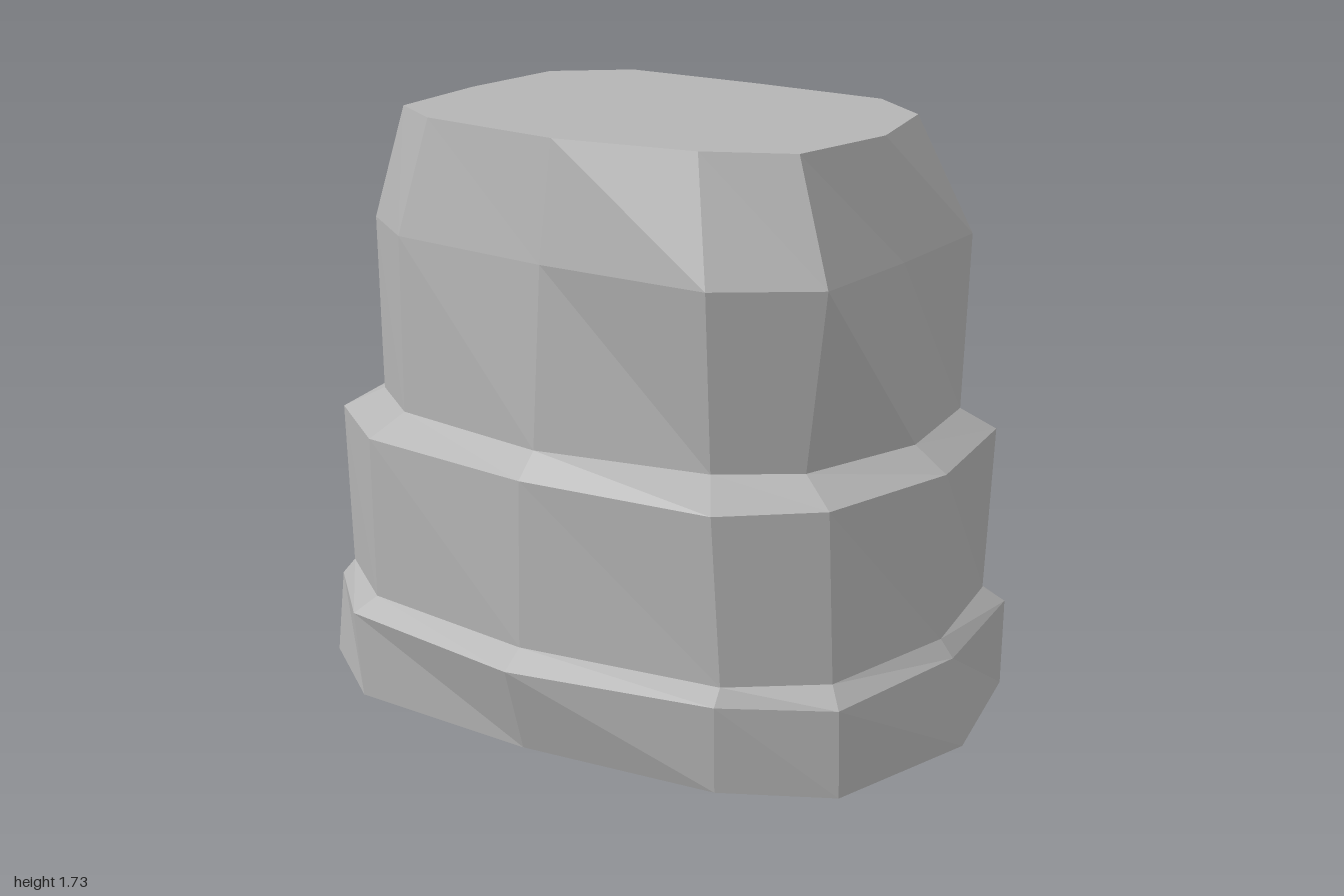
import * as THREE from 'three';

// Each cross-section: height, then 12 [x, z] corners running from front-right round by the left side
const floorRing = { y: 0, p: [[-0.95, 0.43], [-0.65, 0.66], [-0.03, 0.69], [0.58, 0.63], [0.88, 0.47], [1, -0.02], [0.88, -0.49], [0.58, -0.68], [-0.03, -0.75], [-0.65, -0.71], [-0.95, -0.5], [-0.96, 0]] };
const baseRing = { y: 0.26, p: [[-0.92, 0.43], [-0.67, 0.67], [-0.03, 0.77], [0.59, 0.65], [0.88, 0.48], [0.96, -0.02], [0.88, -0.5], [0.58, -0.7], [-0.03, -0.77], [-0.67, -0.72], [-0.97, -0.52], [-1, 0]] };
const drumFoot = { y: 0.31, p: [[-0.88, 0.42], [-0.62, 0.62], [-0.03, 0.7], [0.59, 0.62], [0.83, 0.43], [0.92, -0.02], [0.83, -0.45], [0.59, -0.65], [-0.03, -0.69], [-0.62, -0.68], [-0.88, -0.48], [-0.95, 0]] };
const drumRim = { y: 0.8, p: [[-0.9, 0.42], [-0.62, 0.63], [-0.03, 0.69], [0.57, 0.64], [0.81, 0.43], [0.92, -0.02], [0.84, -0.48], [0.59, -0.63], [-0.03, -0.71], [-0.62, -0.69], [-0.9, -0.49], [-0.99, 0]] };
const crownFoot = { y: 0.87, p: [[-0.77, 0.38], [-0.56, 0.54], [-0.03, 0.62], [0.49, 0.52], [0.7, 0.37], [0.82, -0.02], [0.76, -0.4], [0.5, -0.56], [-0.03, -0.62], [-0.56, -0.6], [-0.8, -0.41], [-0.87, 0]] };
const shoulder = { y: 1.39, p: [[-0.79, 0.37], [-0.57, 0.53], [-0.03, 0.58], [0.51, 0.58], [0.77, 0.39], [0.78, 0], [0.77, -0.42], [0.48, -0.57], [-0.03, -0.65], [-0.54, -0.62], [-0.83, -0.41], [-0.87, -0.02]] };
const topRing = { y: 1.73, p: [[-0.68, 0.36], [-0.5, 0.47], [-0.03, 0.52], [0.4, 0.45], [0.64, 0.33], [0.7, -0.02], [0.62, -0.35], [0.41, -0.51], [-0.04, -0.53], [-0.49, -0.53], [-0.69, -0.36], [-0.71, 0]] };

const corner = (ring, i) => {
  const [x, z] = ring.p[i % ring.p.length];
  return [x, ring.y, z];
};

function facetGeometry(positions) {
  const g = new THREE.BufferGeometry();
  g.setAttribute('position', new THREE.Float32BufferAttribute(positions, 3));
  g.computeVertexNormals();
  return g;
}

// Faceted wall joining two cross-sections
function wall(low, high) {
  const out = [];
  for (let i = 0; i < low.p.length; i++) {
    const a = corner(low, i), b = corner(low, i + 1);
    const c = corner(high, i + 1), d = corner(high, i);
    out.push(...a, ...b, ...d, ...b, ...c, ...d);
  }
  return facetGeometry(out);
}

// Flat lid over one cross-section
function cap(ring, up) {
  const out = [];
  for (let i = 0; i < ring.p.length; i++) {
    const a = corner(ring, i), b = corner(ring, i + 1);
    out.push(0, ring.y, 0, ...(up ? a : b), ...(up ? b : a));
  }
  return facetGeometry(out);
}

export function createModel() {
  const model = new THREE.Group();
  model.name = 'steppedBlock';
  const stone = new THREE.MeshStandardMaterial({ color: 0xb4b4b4, flatShading: true });
  stone.name = 'stone grey';

  const add = (name, geometry) => {
    const mesh = new THREE.Mesh(geometry, stone);
    mesh.name = name;
    model.add(mesh);
  };

  // Three stacked tiers with sloping ledges between them
  add('underside', cap(floorRing, false));
  add('baseTier', wall(floorRing, baseRing));
  add('lowerLedge', wall(baseRing, drumFoot));
  add('middleTier', wall(drumFoot, drumRim));
  add('upperLedge', wall(drumRim, crownFoot));
  add('upperTier', wall(crownFoot, shoulder));
  add('chamfer', wall(shoulder, topRing));
  add('flatTop', cap(topRing, true));
  return model;
}
